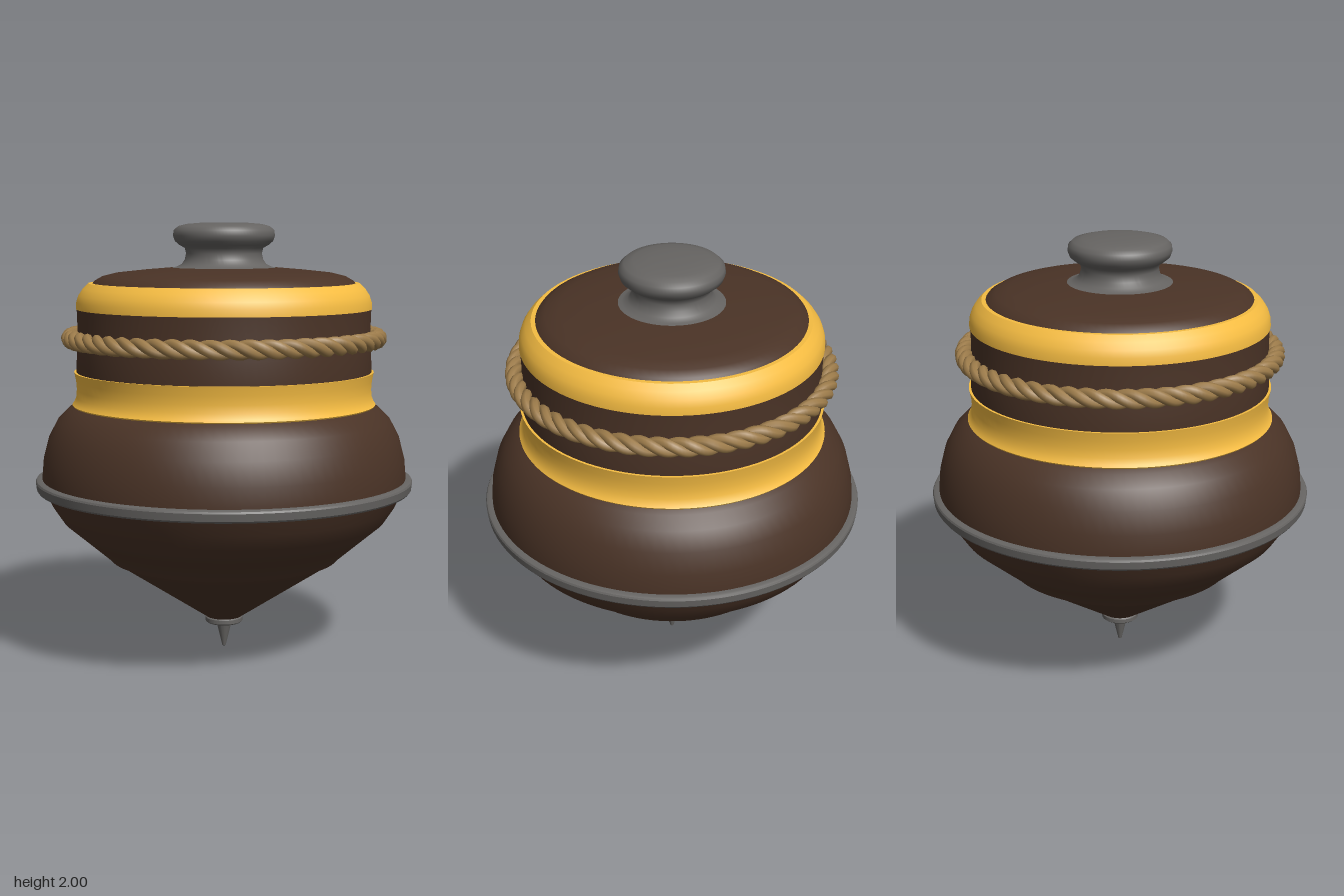
import * as THREE from 'three';
import { toCreasedNormals } from 'three/addons/utils/BufferGeometryUtils.js';

const material = (color) => new THREE.MeshStandardMaterial({ color });
const wood = material(0x4a3326);
const yellow = material(0xf5bc42);
const metal = material(0x666462);
const hemp = material(0x9c7b4a);

// Turned part from a [radius, height] profile, listed bottom to top
function turned(name, mat, profile, crease = 0.5) {
  const points = profile.map(([r, y]) => new THREE.Vector2(r, y));
  const geometry = toCreasedNormals(new THREE.LatheGeometry(points, 96), crease);
  const mesh = new THREE.Mesh(geometry, mat);
  mesh.name = name;
  return mesh;
}

// Closed strand winding around a ring
class StrandCurve extends THREE.Curve {
  constructor(ring, wind, turns, phase) {
    super();
    Object.assign(this, { ring, wind, turns, phase });
  }
  getPoint(t, target = new THREE.Vector3()) {
    const a = t * Math.PI * 2;
    const b = a * this.turns + this.phase;
    const r = this.ring + this.wind * Math.cos(b);
    return target.set(r * Math.cos(a), this.wind * Math.sin(b), r * Math.sin(a));
  }
}

export function createModel() {
  const model = new THREE.Group();
  model.name = 'spinningTop';

  model.add(
    // Metal point and its collar
    turned('tip', metal, [[0, 0], [0.008, 0.005], [0.037, 0.125]]),
    turned('tipCollar', metal, [
      [0, 0.122], [0.08, 0.122], [0.087, 0.128], [0.087, 0.146], [0.08, 0.152], [0, 0.152],
    ]),

    // Wooden body, from the lower cone to the lid
    turned('lowerCone', wood, [[0, 0.14], [0.08, 0.15], [0.525, 0.443]]),
    turned('lowerBody', wood, [
      [0.515, 0.443], [0.535, 0.443], [0.545, 0.455], [0.65, 0.545], [0.75, 0.63],
      [0.8, 0.705], [0.835, 0.78], [0.845, 0.8],
    ]),
    turned('upperBody', wood, [
      [0.845, 0.8], [0.845, 0.84], [0.838, 0.92], [0.812, 1.02], [0.77, 1.1],
      [0.72, 1.15], [0.69, 1.168],
    ]),
    turned('neck', wood, [[0.67, 1.16], [0.672, 1.24], [0.682, 1.33], [0.677, 1.42], [0.674, 1.52], [0.677, 1.62]]),
    turned('lid', wood, [
      [0.61, 1.715], [0.595, 1.735], [0.56, 1.755], [0.5, 1.77], [0.38, 1.783], [0.24, 1.795], [0, 1.797],
    ]),

    // Metal hoop around the widest part
    turned('hoop', metal, [
      [0.83, 0.772], [0.866, 0.774], [0.872, 0.782], [0.876, 0.815], [0.872, 0.823], [0.862, 0.828], [0.84, 0.828],
    ]),

    // Painted bands
    turned('lowerBand', yellow, [
      [0.67, 1.162], [0.698, 1.164], [0.702, 1.17], [0.694, 1.18], [0.684, 1.205],
      [0.681, 1.24], [0.684, 1.28], [0.692, 1.32], [0.67, 1.32],
    ]),
    turned('upperBand', yellow, [
      [0.665, 1.608], [0.68, 1.608], [0.678, 1.64], [0.668, 1.67], [0.648, 1.7], [0.622, 1.725], [0.6, 1.725],
    ]),

    // Flared handle knob
    turned('knob', metal, [
      [0.25, 1.793], [0.22, 1.798], [0.195, 1.81], [0.18, 1.832], [0.174, 1.86], [0.18, 1.884],
      [0.205, 1.898], [0.225, 1.915], [0.234, 1.94], [0.23, 1.965], [0.21, 1.983],
      [0.17, 1.993], [0.1, 1.999], [0, 2],
    ], 0.9),
  );

  // Twisted cord: three strands wound round each other
  const cord = new THREE.Group();
  cord.name = 'cord';
  cord.position.y = 1.475;
  for (let i = 0; i < 3; i++) {
    const path = new StrandCurve(0.706, 0.021, 18, (i * Math.PI * 2) / 3);
    const strand = new THREE.Mesh(new THREE.TubeGeometry(path, 360, 0.023, 8, true), hemp);
    strand.name = 'cordStrand' + (i + 1);
    cord.add(strand);
  }
  model.add(cord);

  return model;
}
